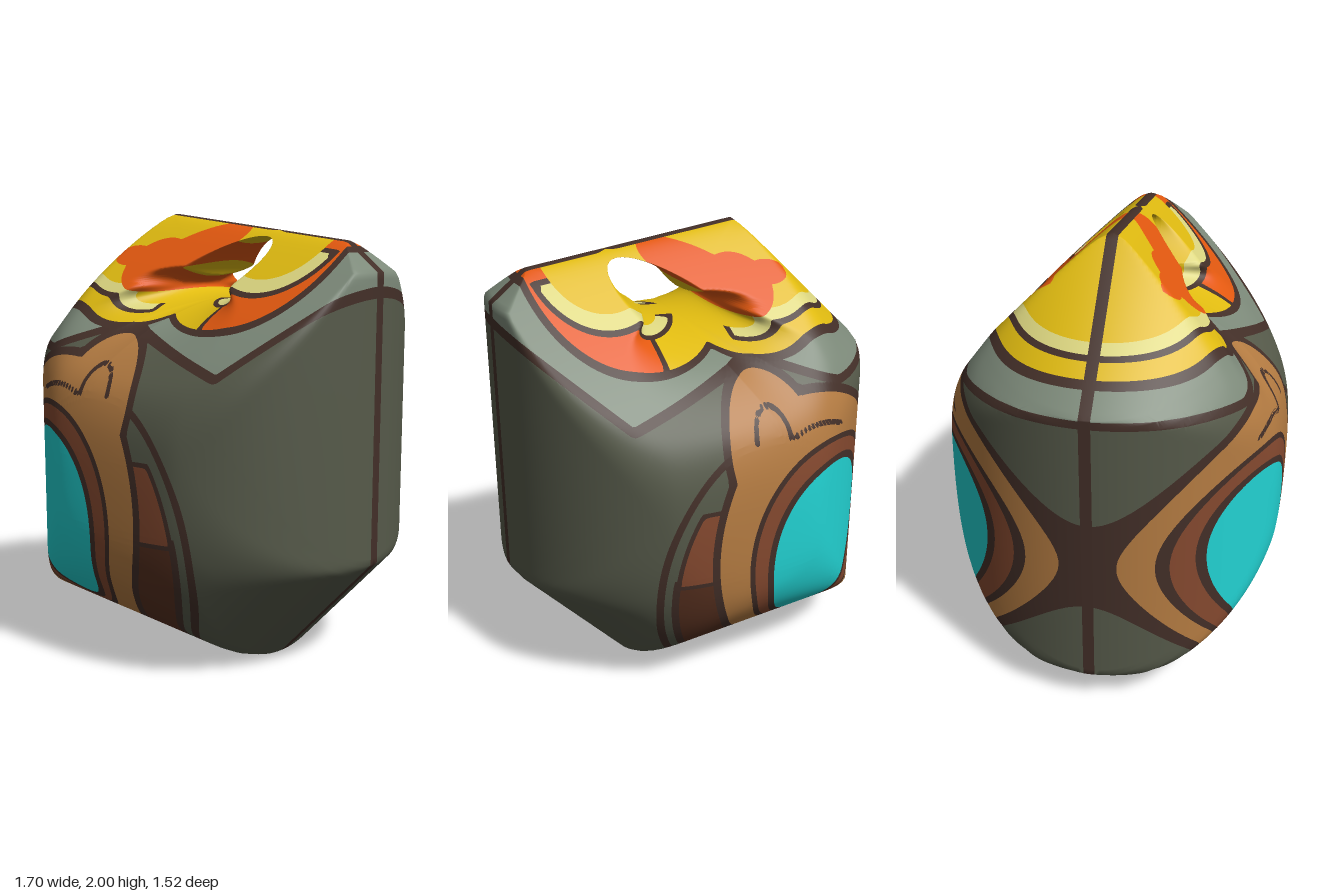
import * as THREE from 'three';
import { mergeVertices } from 'three/addons/utils/BufferGeometryUtils.js';

const COLORS = {
  olive: 0x565a4a, greyGreen: 0x7d8a7a, yellow: 0xdfba10, cream: 0xdcd680, orange: 0xe2580f,
  tan: 0xb57c42, brown: 0x85492f, maroon: 0x57301f, darkBrown: 0x432f28, cyan: 0x22d2d2,
};
const NAMES = Object.keys(COLORS);
const { min, max, abs, sqrt, hypot, cos, sin, PI } = Math;

// Signed distance to an ellipse that may lean and taper with height
function oval(cx, cy, rx, ry, lean = 0, taper = 0) {
  return (x, y) => {
    const v = y - cy, u = (x - cx - lean * v) / max(0.3, 1 + taper * v);
    const k = hypot(u / rx, v / ry);
    return k * (k - 1) / max(hypot(u / rx ** 2, v / ry ** 2), 1e-6);
  };
}

// Signed distance to a polygon
function polygon(pts) {
  return (x, y) => {
    let best = Infinity, inside = false;
    pts.forEach(([bx, by], i) => {
      const [ax, ay] = pts.at(i - 1), ex = bx - ax, ey = by - ay;
      const t = min(1, max(0, ((x - ax) * ex + (y - ay) * ey) / (ex * ex + ey * ey)));
      best = min(best, hypot(x - ax - t * ex, y - ay - t * ey));
      if ((ay > y) !== (by > y) && x < ax + (y - ay) / ey * ex) inside = !inside;
    });
    return inside ? -best : best;
  };
}

const mirrored = pts => polygon([...pts, ...pts.map(([x, y]) => [-x, y]).reverse()]);
const union = (...shapes) => (x, y) => min(...shapes.map(s => s(x, y)));

// Body silhouette, counter-clockwise, and the opening near the top
const OUTLINE = [[-0.85, 0.16], [-0.8, 0.12], [0.38, 0], [0.85, 0.5], [0.85, 1.75], [0.69, 1.88], [-0.27, 2], [-0.85, 1.44]];
const hole = union(oval(0.17, 1.76, 0.14, 0.135, 0.9), oval(0.06, 1.675, 0.17, 0.05));
const CENTRE = [0.14, 1.72];
const EDGES = OUTLINE.map((a, i) => {
  const b = OUTLINE[(i + 1) % OUTLINE.length], len = hypot(b[0] - a[0], b[1] - a[1]);
  return { a, b, len, nx: (a[1] - b[1]) / len, ny: (b[0] - a[0]) / len };
});

function softMin(a, b) {
  const k = 0.15 * max(0.001, min(a, b));
  return min(a, b) - max(0, k - abs(a - b)) ** 2 / (4 * k);
}

// Half depth of the body: oval plan, pitched top, rounded edges, funnel at the opening
function depth(x, y) {
  let d = 0.81 * sqrt(max(0, 1 - (x / 0.85) ** 2));
  for (const e of EDGES) {
    if (e.a[0] === e.b[0]) continue; // upright edges follow the oval plan
    const h = max(0, (x - e.a[0]) * e.nx + (y - e.a[1]) * e.ny);
    const pitched = e.b[1] === 2;
    d = softMin(d, pitched
      ? hypot(0.84 * sin(min(h / 1.1, 1) * PI / 2), 0.35 * sqrt(h) * max(0, 1 - h) ** 2)
      : 0.84 * sqrt(1 - (1 - min(h / 0.85, 1)) ** 2));
  }
  return max(0, softMin(d, 1.3 * sqrt(max(0, hole(x, y)))));
}

// Front half of the skin, spanned between the opening and the silhouette
function frontSkin(around = 230, rings = 80) {
  const total = EDGES.reduce((s, e) => s + e.len, 0), rays = [];
  for (const e of EDGES) {
    const n = max(2, Math.round(around * e.len / total));
    for (let i = 0; i < n; i++) {
      const dir = CENTRE.map((c, k) => e.a[k] + (e.b[k] - e.a[k]) * i / n - c);
      const at = t => CENTRE.map((c, k) => c + dir[k] * t);
      let lo = 0, hi = 1;
      for (let s = 0; s < 30; s++) {
        const m = (lo + hi) / 2;
        if (hole(...at(m)) < 0) lo = m; else hi = m;
      }
      rays.push(Array.from({ length: rings + 1 }, (_, j) => {
        const [x, y] = at(lo + (1 - lo) * (1 - cos(PI * j / rings)) / 2);
        return [x, y, j % rings ? depth(x, y) : 0];
      }));
    }
  }
  const tris = [];
  rays.forEach((r, i) => {
    const q = rays[(i + 1) % rays.length];
    for (let j = 0; j < rings; j++) {
      tris.push({ p: [r[j], r[j + 1], q[j + 1]], c: 'olive' }, { p: [r[j], q[j + 1], q[j]], c: 'olive' });
    }
  });
  return tris;
}

// Cut the skin where f changes sign and colour the negative side
function paint(tris, f, color) {
  const out = [];
  for (const t of tris) {
    const d = t.p.map(p => f(...p));
    if (d.every(v => v >= 0)) { out.push(t); continue; }
    if (d.every(v => v < 0)) { out.push({ p: t.p, c: color }); continue; }
    const inner = [], outer = [];
    for (let i = 0; i < 3; i++) {
      const k = (i + 1) % 3, a = t.p[i], b = t.p[k];
      (d[i] < 0 ? inner : outer).push(a);
      if ((d[i] < 0) !== (d[k] < 0)) {
        const s = d[i] / (d[i] - d[k]), m = a.map((v, n) => v + (b[n] - v) * s);
        inner.push(m);
        outer.push(m);
      }
    }
    for (const [poly, c] of [[inner, color], [outer, t.c]])
      for (let i = 2; i < poly.length; i++) out.push({ p: [poly[0], poly[i - 1], poly[i]], c });
  }
  return out;
}

// Outlines of the painted areas
const sidePanel = mirrored([[0, 1.78], [0.61, 1.38], [0.62, 0.6], [0.35, -0.2]]);
const sideCore = mirrored([[0, 1.24], [0.41, 0.95], [0.41, 0.59], [0.17, 0.25]]);
const shoulder = polygon([[-1, 1.44], [-0.5, 1.42], [-0.15, 1.54], [0.46, 1.35], [0.85, 1.69], [1, 2.3], [-1, 2.3]]);
const patch = oval(-0.1, 0.6, 0.41, 0.56);
const outerRing = union(oval(-0.35, 0.74, 0.49, 0.64), oval(-0.12, 1.2, 0.2, 0.28));
const innerRing = oval(-0.4, 0.68, 0.37, 0.48, -0.05, 0.1);
const disc = oval(-0.4, 0.66, 0.275, 0.4, -0.1, 0.25);
const capA = oval(-0.31, 0, 0.42, 0.49), capB = oval(0.3, 0, 0.42, 0.46), capCore = oval(0.38, 0, 0.31, 0.31);
const flame = union(oval(-0.17, 1.77, 0.15, 0.12), oval(0, 1.85, 0.16, 0.11, 1.2), oval(-0.32, 1.81, 0.09, 0.045));

// Painted in order: area, colour, width of its dark border
const onSide = f => (x, y, z) => max(f(z, y), 0.3 - x);
const onTop = f => (x, y, z) => max(f(x, z), 1.4 - y);
const REGIONS = [
  [onSide(sidePanel), 'olive', 0.035],
  [onSide((z, y) => sideCore(z, y) - 0.09), 'greyGreen', 0],
  [onSide(sideCore), 'olive', 0.025],
  [(x, y) => shoulder(x, y), 'greyGreen', 0.035],
  [(x, y) => patch(x, y) - 0.06, 'olive', 0.03],
  [(x, y) => max(patch(x, y), y - 0.64), 'maroon', 0.03],
  [(x, y) => max(patch(x, y), abs(y - 0.8) - 0.16), 'brown', 0.02],
  [(x, y) => outerRing(x, y), 'tan', 0.035],
  [(x, y) => max(abs(outerRing(x, y) + 0.12) - 0.012, 1.22 - y), 'darkBrown', 0],
  [(x, y) => innerRing(x, y), 'brown', 0.025],
  [(x, y) => disc(x, y), 'cyan', 0.03],
  [onTop(union(capA, capB)), 'yellow', 0.03],
  [onTop((x, z) => max(capA(x, z) + 0.075, x + 0.12)), 'cream', 0.02],
  [onTop((x, z) => max(capA(x, z) + 0.115, x + 0.09)), 'yellow', 0],
  [onTop((x, z) => max(capB(x, z), 0.26 - x)), 'orange', 0.025],
  [onTop((x, z) => max(capCore(x, z), 0.1 - z)), 'cream', 0.022],
  [onTop((x, z) => capCore(x, z) + 0.055), 'yellow', 0],
  [(x, y) => flame(x, y), 'orange', 0],
  // centre seam
  [(x, y, z) => max(z - 0.025, 0.03 - hole(x, y)), 'darkBrown', 0],
];

export function createModel() {
  const group = new THREE.Group();
  group.name = 'bandedPebble';
  let half = frontSkin();
  for (const [f, color, border] of REGIONS) {
    if (border) half = paint(half, (...p) => f(...p) - border, 'darkBrown');
    half = paint(half, f, color);
  }

  // Mirror to the back and gather the faces by colour
  const positions = [], geometry = new THREE.BufferGeometry();
  NAMES.forEach((name, index) => {
    const start = positions.length / 3;
    for (const { p: [a, b, c], c: color } of half) {
      if (color !== name) continue;
      positions.push(...a, ...b, ...c);
      for (const [x, y, z] of [a, c, b]) positions.push(x, y, -z);
    }
    geometry.addGroup(start, positions.length / 3 - start, index);
  });
  geometry.setAttribute('position', new THREE.Float32BufferAttribute(positions, 3));
  const skin = mergeVertices(geometry, 1e-5);
  skin.computeVertexNormals();

  const materials = NAMES.map(name => {
    const material = new THREE.MeshStandardMaterial({ color: COLORS[name] });
    material.name = name;
    return material;
  });
  const body = new THREE.Mesh(skin, materials);
  body.name = 'body';
  group.add(body);
  return group;
}
